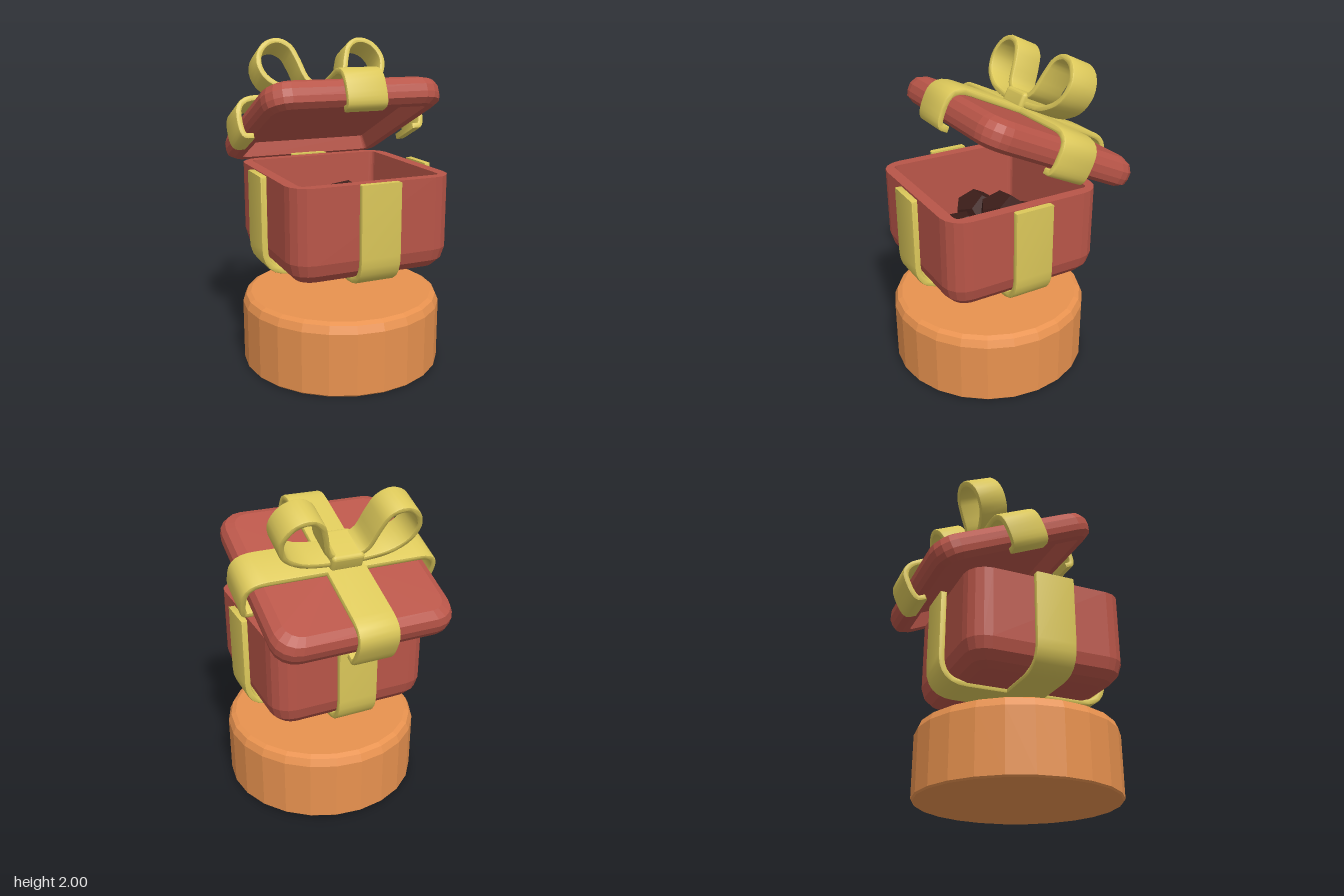
import * as THREE from 'three';
import { toCreasedNormals } from 'three/addons/utils/BufferGeometryUtils.js';
import { RoundedBoxGeometry } from 'three/addons/geometries/RoundedBoxGeometry.js';

const red = new THREE.MeshStandardMaterial({ color: 0xb85548, flatShading: true });
const yellow = new THREE.MeshStandardMaterial({ color: 0xdcc85a });
const orange = new THREE.MeshStandardMaterial({ color: 0xe8924f, flatShading: true });
const dark = new THREE.MeshStandardMaterial({ color: 0x3c1d19, flatShading: true });

function add(parent, name, geometry, material) {
  const mesh = new THREE.Mesh(geometry, material);
  mesh.name = name;
  parent.add(mesh);
  return mesh;
}

// Solid from stacked rounded squares, each [half size, corner radius, height]
function loftSquares(rings, steps = 4) {
  const pos = [], index = [], n = 4 * (steps + 1);
  for (const [half, r, y] of rings) {
    for (let c = 0; c < 4; c++) {
      for (let s = 0; s <= steps; s++) {
        const a = (c + s / steps) * Math.PI / 2;
        const mid = (c + 0.5) * Math.PI / 2;
        const sx = Math.sign(Math.cos(mid)), sz = Math.sign(Math.sin(mid));
        pos.push(sx * (half - r) + r * Math.cos(a), y, sz * (half - r) + r * Math.sin(a));
      }
    }
  }
  for (let j = 0; j < rings.length - 1; j++) {
    for (let i = 0; i < n; i++) {
      const a = j * n + i, b = j * n + (i + 1) % n;
      index.push(a, a + n, b, b, a + n, b + n);
    }
  }
  const g = new THREE.BufferGeometry();
  g.setAttribute('position', new THREE.Float32BufferAttribute(pos, 3));
  g.setIndex(index);
  g.computeVertexNormals();
  return g;
}

// Polyline with rounded corners
function roundedPath(corners, radius) {
  const v = corners.map(([x, y]) => new THREE.Vector2(x, y));
  const path = new THREE.Path().moveTo(v[0].x, v[0].y);
  for (let i = 1; i < v.length - 1; i++) {
    const toward = (q) => {
      const d = q.clone().sub(v[i]);
      return v[i].clone().add(d.setLength(Math.min(radius, d.length() * 0.45)));
    };
    const p = toward(v[i - 1]), q = toward(v[i + 1]);
    path.lineTo(p.x, p.y);
    path.quadraticCurveTo(v[i].x, v[i].y, q.x, q.y);
  }
  const e = v[v.length - 1];
  path.lineTo(e.x, e.y);
  return path.getPoints(6);
}

// Flat band following points in the xy plane, soft edged, with its width along z
function band(points, thickness, width) {
  const left = [], right = [], b = 0.011;
  points.forEach((p, i) => {
    const prev = points[Math.max(i - 1, 0)], next = points[Math.min(i + 1, points.length - 1)];
    const d = new THREE.Vector2(next.x - prev.x, next.y - prev.y).setLength(thickness / 2);
    left.push(new THREE.Vector2(p.x - d.y, p.y + d.x));
    right.unshift(new THREE.Vector2(p.x + d.y, p.y - d.x));
  });
  const g = new THREE.ExtrudeGeometry(new THREE.Shape([...left, ...right]), {
    depth: width - 2 * b, bevelThickness: b, bevelSize: b, bevelOffset: -b, bevelSegments: 2,
  });
  g.translate(0, 0, -width / 2 + b);
  return toCreasedNormals(g, 0.7);
}

export function createModel() {
  const model = new THREE.Group();
  model.name = 'openGiftBox';

  // Round pedestal
  const profile = [[0, 0], [0.61, 0], [0.62, 0.01], [0.62, 0.385], [0.6, 0.43], [0.57, 0.445], [0, 0.445]];
  add(model, 'pedestal', new THREE.LatheGeometry(
    profile.map(([x, y]) => new THREE.Vector2(x, y)), 24), orange).position.z = 0.09;

  // Open box with rounded underside
  const box = new THREE.Group();
  box.name = 'box';
  box.position.z = 0.095;
  model.add(box);
  add(box, 'boxBody', loftSquares([
    [0.001, 0, 0.65], [0.38, 0.06, 0.65], [0.44, 0.09, 0.672], [0.485, 0.12, 0.72], [0.505, 0.135, 0.79],
    [0.505, 0.135, 1.225], [0.437, 0.03, 1.225], [0.42, 0.03, 0.76], [0.37, 0.03, 0.71], [0.001, 0, 0.71],
  ]), red);

  // Ribbons cradling the box
  const cradle = band(roundedPath(
    [[-0.54, 1.23], [-0.54, 0.645], [0.54, 0.645], [0.54, 1.23]], 0.16), 0.04, 0.25);
  for (const turn of [0, 1]) {
    add(box, 'boxRibbon', cradle, yellow).rotation.y = turn * Math.PI / 2;
  }

  // Dark lumps inside
  const lumps = [[-0.16, 0.9, -0.02, 0.16], [0.06, 0.95, -0.08, 0.17], [0.2, 0.88, 0.02, 0.16],
    [-0.02, 0.86, 0.18, 0.15], [0.04, 0.86, -0.24, 0.15]];
  lumps.forEach(([x, y, z, r], i) => {
    const lump = add(box, 'lump', new THREE.DodecahedronGeometry(r), dark);
    lump.position.set(x, y, z);
    lump.rotation.set(i * 0.9, i * 1.7, i * 0.5);
  });

  // Tilted lid with a hollow underside
  const lid = new THREE.Group();
  lid.name = 'lid';
  lid.position.set(0, 1.483, -0.118);
  lid.rotation.x = -0.435;
  model.add(lid);
  add(lid, 'lidBody', loftSquares([
    [0.001, 0, 0.01], [0.43, 0.02, 0.01], [0.455, 0.03, -0.08], [0.51, 0.1, -0.08], [0.55, 0.13, -0.055],
    [0.56, 0.14, -0.02], [0.56, 0.14, 0.025], [0.54, 0.13, 0.068], [0.49, 0.1, 0.095], [0.001, 0, 0.095],
  ]), red);

  // Ribbons over the lid, hooked under its edge
  const over = band(roundedPath([
    [-0.53, -0.1], [-0.605, -0.1], [-0.605, 0.133], [0.605, 0.133], [0.605, -0.1], [0.53, -0.1],
  ], 0.13), 0.037, 0.25);
  for (const turn of [0, 1]) {
    add(lid, 'lidRibbon', over, yellow).rotation.y = turn * Math.PI / 2;
  }

  // Bow: two mirrored teardrop loops and a pinched knot
  const bow = new THREE.Group();
  bow.name = 'bow';
  lid.add(bow);
  for (const side of [1, -1]) {
    const curve = new THREE.CatmullRomCurve3([
      [0.03, 0.195], [0.12, 0.25], [0.165, 0.38], [0.205, 0.47], [0.28, 0.508], [0.37, 0.475],
      [0.42, 0.38], [0.39, 0.275], [0.28, 0.2], [0.15, 0.175], [0.03, 0.17],
    ].map(([x, y]) => new THREE.Vector3(side * x, y, 0)));
    add(bow, 'bowLoop', band(curve.getPoints(36), 0.037, 0.19), yellow);
  }
  const knot = new RoundedBoxGeometry(0.2, 0.11, 0.25, 4, 0.025);
  const p = knot.attributes.position;
  for (let i = 0; i < p.count; i++) {
    const pinch = 0.82 + 0.18 * Math.min(1, Math.abs(p.getX(i)) / 0.1);
    p.setY(i, p.getY(i) * pinch);
    p.setZ(i, p.getZ(i) * pinch);
  }
  knot.computeVertexNormals();
  add(bow, 'bowKnot', toCreasedNormals(knot, 0.7), yellow).position.y = 0.185;

  return model;
}
